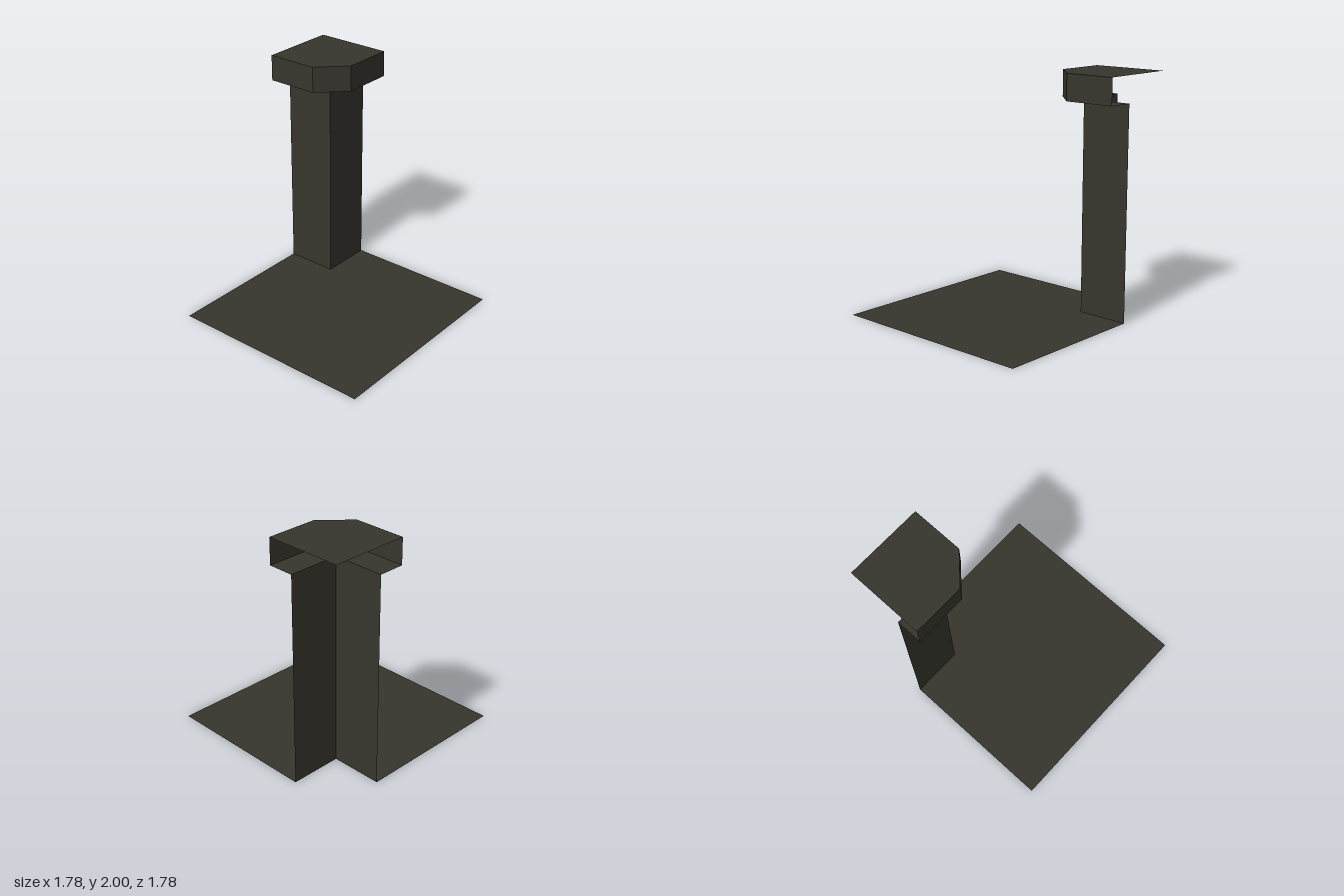
import * as THREE from 'three';

// Key plan distances: outer edge, post face, cap rim; and heights
const E = 0.89, P = 0.445, R = 0.225;
const LEDGE = 1.78, TOP = 2;

export function createModel() {
  const group = new THREE.Group();
  const stone = new THREE.MeshStandardMaterial({ color: 0x36352d, side: THREE.DoubleSide });
  stone.name = 'dark stone';

  function add(name, geometry) {
    const mesh = new THREE.Mesh(geometry, stone);
    mesh.name = name;
    group.add(mesh);
    return mesh;
  }

  // Flat horizontal sheet from a plan outline of [x, z] points
  function slab(name, plan, y) {
    const shape = new THREE.Shape(plan.map(([x, z]) => new THREE.Vector2(x, -z)));
    add(name, new THREE.ShapeGeometry(shape).rotateX(-Math.PI / 2)).position.y = y;
  }

  // Upright sheet between two plan points, facing right of a viewer at a..b
  function wall(name, [ax, az], [bx, bz], y0, y1) {
    const width = Math.hypot(bx - ax, bz - az);
    const mesh = add(name, new THREE.PlaneGeometry(width, y1 - y0));
    mesh.position.set((ax + bx) / 2, (y0 + y1) / 2, (az + bz) / 2);
    mesh.rotation.y = -Math.atan2(bz - az, bx - ax);
  }

  // Outlines of the post corner and the chamfered cap, both open at the back and side
  const post = [[P, -E], [P, -P], [E, -P]];
  const rim = [[R, -E], [R, -P], [P, -R], [E, -R]];

  // Floor with the post's footprint left out
  slab('floor', [[-E, -E], [-E, E], [E, E], ...[...post].reverse()], 0);

  // Two post walls
  for (let i = 0; i < 2; i++) wall('postWall', post[i], post[i + 1], 0, LEDGE);

  // Cap: underside ledge, rim walls and top
  slab('capLedge', [...rim, ...[...post].reverse()], LEDGE);
  for (let i = 0; i < 3; i++) wall('capRim', rim[i], rim[i + 1], LEDGE, TOP);
  slab('capTop', [...rim, [E, -E]], TOP);

  return group;
}
